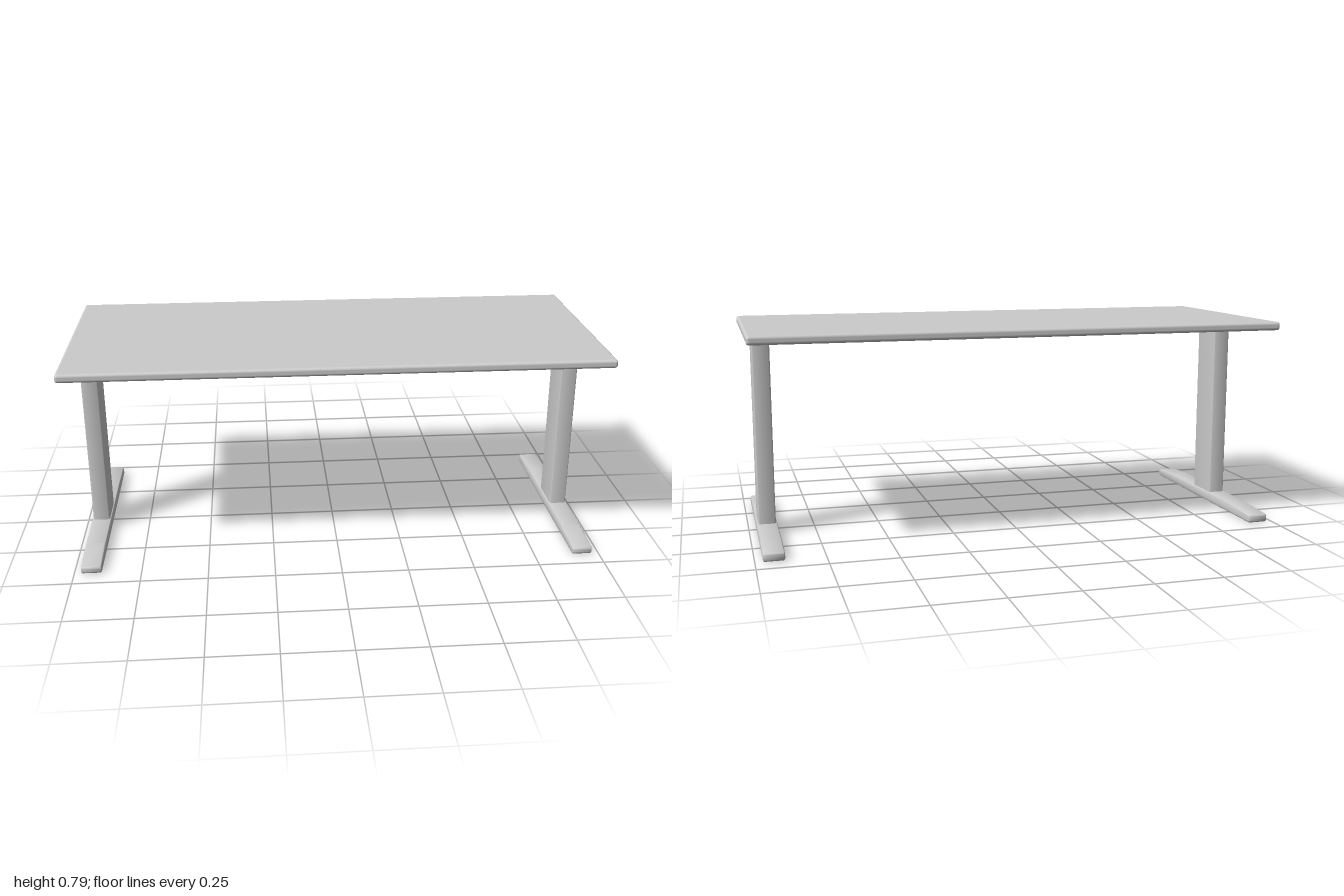
import * as THREE from 'three';
import { RoundedBoxGeometry } from 'three/addons/geometries/RoundedBoxGeometry.js';
import { toCreasedNormals } from 'three/addons/utils/BufferGeometryUtils.js';

const material = new THREE.MeshStandardMaterial({ color: 0xcccccc });

function part(name, geometry, x = 0, y = 0, z = 0) {
  const mesh = new THREE.Mesh(geometry, material);
  mesh.name = name;
  mesh.position.set(x, y, z);
  return mesh;
}

// closed outline through [x, y] corners, each rounded by radius r
function roundedOutline(points, r) {
  const corners = points.map(([x, y]) => new THREE.Vector2(x, y));
  const shape = new THREE.Shape();
  corners.forEach((p, i) => {
    const prev = corners[(i + corners.length - 1) % corners.length];
    const next = corners[(i + 1) % corners.length];
    const a = prev.clone().sub(p).setLength(r).add(p);
    const b = next.clone().sub(p).setLength(r).add(p);
    if (i === 0) shape.moveTo(a.x, a.y);
    else shape.lineTo(a.x, a.y);
    shape.quadraticCurveTo(p.x, p.y, b.x, b.y);
  });
  shape.closePath();
  return shape;
}

// upright column with softened vertical edges
function postGeometry() {
  const w = 0.0325, d = 0.076, height = 0.73;
  const outline = roundedOutline([[-w, -d], [w, -d], [w, d], [-w, d]], 0.01);
  const geometry = new THREE.ExtrudeGeometry(outline, { depth: height, bevelEnabled: false, curveSegments: 5 });
  geometry.rotateX(-Math.PI / 2);
  return toCreasedNormals(geometry, 0.6);
}

// long foot: side profile tapering to both ends, extruded across with rounded edges
function footGeometry() {
  const width = 0.077, bevel = 0.007;
  const outline = roundedOutline([
    [-0.434, 0.003], [0, 0.001], [0.434, 0.001], [0.434, 0.03],
    [0.26, 0.041], [-0.26, 0.042], [-0.434, 0.035],
  ], 0.011);
  const geometry = new THREE.ExtrudeGeometry(outline, {
    depth: width - 2 * bevel, bevelThickness: bevel, bevelSize: bevel,
    bevelOffset: -bevel, bevelSegments: 4, curveSegments: 5,
  });
  geometry.translate(0, 0, -(width / 2 - bevel));
  geometry.rotateY(-Math.PI / 2);
  return toCreasedNormals(geometry, 0.6);
}

export function createModel() {
  const model = new THREE.Group();
  model.name = 'table';

  model.add(part('tabletop', new RoundedBoxGeometry(2, 0.032, 0.86, 4, 0.011), 0, 0.775, 0));

  // one post on one foot at each end
  const post = postGeometry();
  const foot = footGeometry();
  for (const [side, x] of [['left', 0.934], ['right', -0.936]]) {
    const leg = new THREE.Group();
    leg.name = side + 'Leg';
    leg.position.x = x;
    leg.add(part(side + 'Post', post, 0, 0.035, 0));
    leg.add(part(side + 'Foot', foot));
    model.add(leg);
  }
  return model;
}
